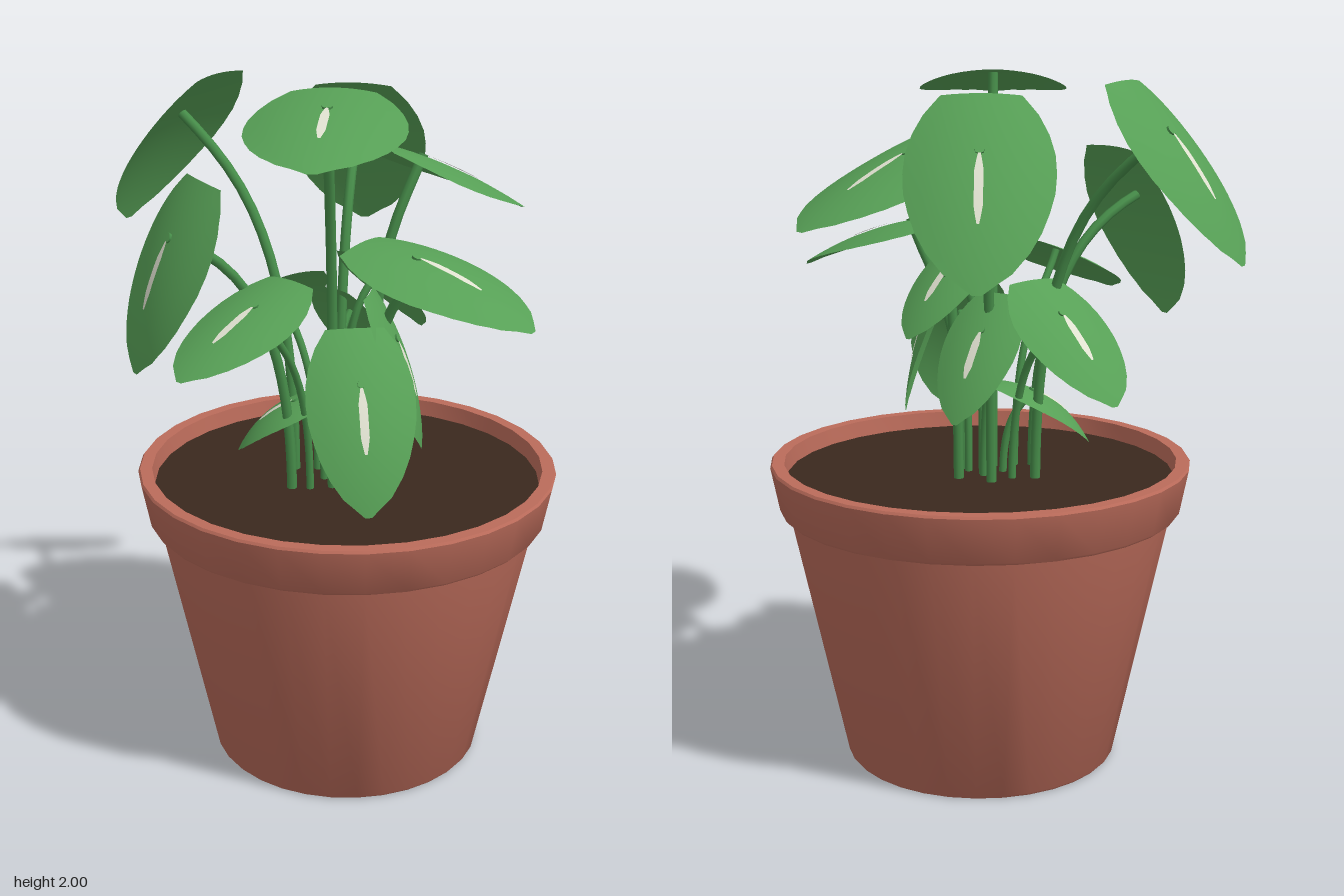
import * as THREE from 'three';
import { toCreasedNormals } from 'three/addons/utils/BufferGeometryUtils.js';

const V = (x, y, z) => new THREE.Vector3(x, y, z);
const material = (name, color, side = THREE.FrontSide) => {
  const m = new THREE.MeshStandardMaterial({ color, side });
  m.name = name;
  return m;
};

// Half width of a leaf from base (t = 0) to tip (t = 1), as a share of its widest point
const OUTLINE = [0.54, 0.76, 0.9, 0.98, 1, 0.98, 0.91, 0.81, 0.66, 0.44, 0.06];
function outline(t) {
  const f = Math.min(t * 10, 9.999), i = Math.floor(f);
  return THREE.MathUtils.lerp(OUTLINE[i], OUTLINE[i + 1], f - i);
}

// Curved leaf surface: arched from base to tip, with the sides drooping
function leafSurface({ base, tip, half, arch }) {
  const span = tip.clone().sub(base), length = span.length();
  const axis = span.clone().normalize();
  const side = V(0, 1, 0).cross(axis).normalize();
  const normal = axis.clone().cross(side);
  const at = (t, across, lift = 0) => {
    const droop = 0.2 * across * across / half;
    const bulge = 4 * arch * length * t * (1 - t);
    return base.clone().addScaledVector(span, t).addScaledVector(side, across)
      .addScaledVector(normal, bulge - droop + lift);
  };
  return { at, normal };
}

// Sheet of quads from a rule (u, v in 0..1)
function sheet(rule, nu, nv) {
  const positions = [], index = [];
  for (let i = 0; i <= nu; i++)
    for (let j = 0; j <= nv; j++) {
      positions.push(...rule(i / nu, j / nv).toArray());
      if (i < nu && j < nv) {
        const a = i * (nv + 1) + j, b = a + nv + 1;
        index.push(a, b, b + 1, a, b + 1, a + 1);
      }
    }
  const g = new THREE.BufferGeometry();
  g.setAttribute('position', new THREE.Float32BufferAttribute(positions, 3));
  g.setIndex(index);
  g.computeVertexNormals();
  return g;
}

// Each leaf: base, tip, half width, arch, distance of the stem root from the middle
const LEAVES = [
  [V(0.02, 1.995, 0.03), V(0.035, 1.9, 0.617), 0.214, 0.025, 0.06],
  [V(0.04, 1.95, -0.28), V(0.04, 1.47, -0.615), 0.2, 0.05, 0.11],
  [V(-0.34, 1.98, -0.21), V(-0.65, 1.51, -0.37), 0.2, 0.06, 0.14],
  [V(0.12, 1.84, -0.03), V(0.52, 1.59, -0.34), 0.22, 0.04, 0.12],
  [V(0.10, 1.58, 0.07), V(0.58, 1.41, 0.28), 0.205, 0.075, 0.09],
  [V(-0.32, 1.77, 0.19), V(-0.49, 1.26, 0.31), 0.2, 0.07, 0.14],
  [V(-0.08, 1.5, 0.18), V(-0.33, 1.31, 0.5), 0.155, 0.04, 0.1],
  [V(0.10, 1.38, 0.21), V(0.165, 0.93, 0.455), 0.15, 0.08, 0.08],
  [V(-0.10, 1.43, -0.12), V(-0.32, 1.13, -0.38), 0.155, 0.05, 0.09],
  [V(0.0, 1.39, -0.11), V(0.115, 1.06, -0.31), 0.12, 0.06, 0.05],
  [V(0.07, 1.53, 0.01), V(0.25, 1.27, -0.17), 0.12, 0.06, 0.04],
  [V(0.13, 1.45, 0.1), V(0.28, 1.0, 0.11), 0.135, 0.07, 0.07],
  [V(0.01, 1.11, 0.0), V(-0.26, 0.93, 0.02), 0.125, 0.14, 0.03],
];

export function createModel() {
  const terracotta = material('terracotta', 0xba6b5a);
  const soilBrown = material('soil brown', 0x3a281e);
  const leafGreen = material('leaf green', 0x57a056, THREE.DoubleSide);
  const stemGreen = material('stem green', 0x468c49);
  const paleVein = material('pale vein', 0xe0e1d0, THREE.DoubleSide);

  const model = new THREE.Group();
  model.name = 'pottedPlant';
  const add = (parent, name, geometry, mat) => {
    const mesh = new THREE.Mesh(geometry, mat);
    mesh.name = name;
    parent.add(mesh);
    return mesh;
  };

  // Pot with a recessed foot and a stepped rim
  const pot = new THREE.Group();
  pot.name = 'pot';
  pot.position.set(0.055, 0, -0.012);
  model.add(pot);
  const profile = [
    [0, 0.06], [0.335, 0.06], [0.34, 0], [0.39, 0], [0.397, 0.008], [0.556, 0.752],
    [0.575, 0.75], [0.582, 0.758], [0.607, 0.885], [0.602, 0.892], [0.567, 0.892], [0.557, 0.82],
  ].map(([r, y]) => new THREE.Vector2(r, y));
  add(pot, 'potShell', toCreasedNormals(new THREE.LatheGeometry(profile, 32), 0.6), terracotta);

  const soil = add(pot, 'soil', new THREE.CircleGeometry(0.56, 32).rotateX(-Math.PI / 2), soilBrown);
  soil.position.y = 0.845;

  // Leaves, each on an arched stem
  for (const [base, tip, half, arch, rootOut] of LEAVES) {
    const sprig = new THREE.Group();
    sprig.name = 'sprig';
    model.add(sprig);
    const { at, normal } = leafSurface({ base, tip, half, arch });

    add(sprig, 'leaf', sheet((t, s) => at(t, (s * 2 - 1) * half * outline(t)), 20, 8), leafGreen);

    // Midrib from the stem joint towards the tip, tapering at both ends
    add(sprig, 'midrib', sheet((u, s) => {
      const w = 0.012 * Math.min(1, 0.3 + 3 * u, 0.3 + 3 * (1 - u));
      return at(0.33 + 0.35 * u, (s * 2 - 1) * w, 0.004);
    }, 8, 2), paleVein);

    // Stem: rises straight, then bends to meet the leaf from below
    const out = tip.clone().sub(base).setY(0).normalize();
    const root = V(0.02, 0.83, 0).addScaledVector(out, rootOut);
    const joint = at(0.31, 0, 0.005);
    const rise = joint.y - root.y;
    const curve = new THREE.CubicBezierCurve3(
      root,
      root.clone().add(V(0, rise * 0.72, 0)),
      joint.clone().addScaledVector(normal, -0.25 * rise),
      joint,
    );
    add(sprig, 'stem', new THREE.TubeGeometry(curve, 16, half > 0.17 ? 0.0145 : 0.011, 8), stemGreen);
  }
  return model;
}
